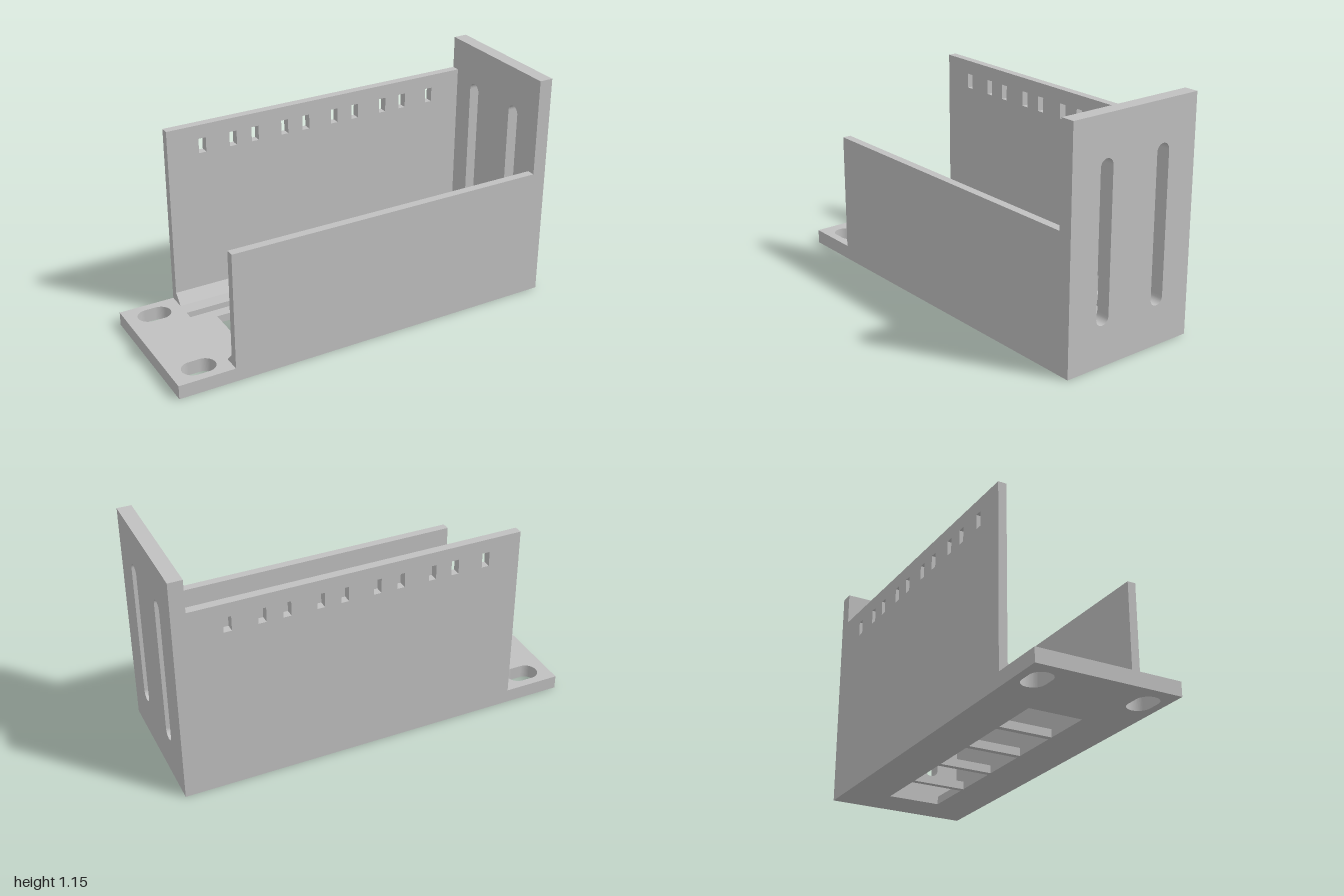
import * as THREE from 'three';

const X0 = -0.715, X1 = 0.93;            // span of the side walls
const HALF = 0.36, BASE = 0.07, LEDGE = 0.04, WALL = 0.042;

function rect(T, x0, y0, x1, y1) {
  const s = new T();
  s.moveTo(x0, y0); s.lineTo(x1, y0); s.lineTo(x1, y1); s.lineTo(x0, y1); s.closePath();
  return s;
}

// Rounded slot, long axis along the first coordinate
function slotX(cx, cy, length, r) {
  const p = new THREE.Path(), h = length / 2 - r;
  p.absarc(cx + h, cy, r, -Math.PI / 2, Math.PI / 2, false);
  p.absarc(cx - h, cy, r, Math.PI / 2, Math.PI * 1.5, false);
  p.closePath();
  return p;
}

// Rounded slot, long axis along the second coordinate
function slotY(cx, cy, length, r) {
  const p = new THREE.Path(), h = length / 2 - r;
  p.absarc(cx, cy + h, r, 0, Math.PI, false);
  p.absarc(cx, cy - h, r, Math.PI, Math.PI * 2, false);
  p.closePath();
  return p;
}

function extrude(shape, holes, depth) {
  shape.holes.push(...holes);
  return new THREE.ExtrudeGeometry(shape, { depth, bevelEnabled: false, curveSegments: 16 });
}

export function createModel() {
  const model = new THREE.Group();
  model.name = 'bracket';
  const grey = new THREE.MeshStandardMaterial({ color: 0xc0c0c0 });
  grey.name = 'plain grey';
  const add = (name, geometry) => {
    const mesh = new THREE.Mesh(geometry, grey);
    mesh.name = name;
    model.add(mesh);
    return mesh;
  };

  const centres = [0, 1, 2, 3, 4].map(i => -0.453 + i * 0.28);
  const mountSlots = () => [-1, 1].map(s => slotX(-0.857, s * 0.262, 0.168, 0.056));

  // Base: a lower layer with five windows, an upper layer with the long recess
  const windows = centres.map(c => rect(THREE.Path, c - 0.126, -0.136, c + 0.126, 0.136));
  const floor = extrude(rect(THREE.Shape, -1, -HALF, 1, HALF), [...windows, ...mountSlots()], LEDGE);
  add('baseFloor', floor.rotateX(-Math.PI / 2));

  const recess = rect(THREE.Path, X0, -0.195, X1, 0.195);
  const rim = extrude(rect(THREE.Shape, -1, -HALF, 1, HALF), [recess, ...mountSlots()], BASE - LEDGE);
  add('baseRim', rim.rotateX(-Math.PI / 2).translate(0, LEDGE, 0));

  // Front wall
  add('frontWall', extrude(rect(THREE.Shape, X0, BASE, X1, 0.665), [], WALL).translate(0, 0, HALF - WALL));

  // Back wall with a pair of small openings for every window
  const vents = centres.flatMap(c => [c - 0.081, c + 0.081])
    .map(x => rect(THREE.Path, x - 0.019, 0.845, x + 0.019, 0.92));
  add('backWall', extrude(rect(THREE.Shape, X0, BASE, X1, 0.99), vents, WALL).translate(0, 0, -HALF));

  // Sloped fillets along the foot of both walls
  for (const side of [1, -1]) {
    const s = new THREE.Shape();
    s.moveTo(0, 0); s.lineTo(0.048, 0); s.lineTo(0, 0.05); s.closePath();
    const g = extrude(s, [], X1 - X0);
    g.translate(0, BASE, -(X1 - X0) / 2).rotateY(side * Math.PI / 2);
    g.translate((X0 + X1) / 2, 0, side * (HALF - WALL));
    add(side > 0 ? 'frontFillet' : 'backFillet', g);
  }

  // Tall end plate with two long slots
  const slots = [-1, 1].map(s => slotY(s * 0.165, 0.579, 0.76, 0.036));
  const plate = extrude(rect(THREE.Shape, -HALF, BASE, HALF, 1.155), slots, 1 - X1);
  add('endPlate', plate.rotateY(Math.PI / 2).translate(X1, 0, 0));

  return model;
}
